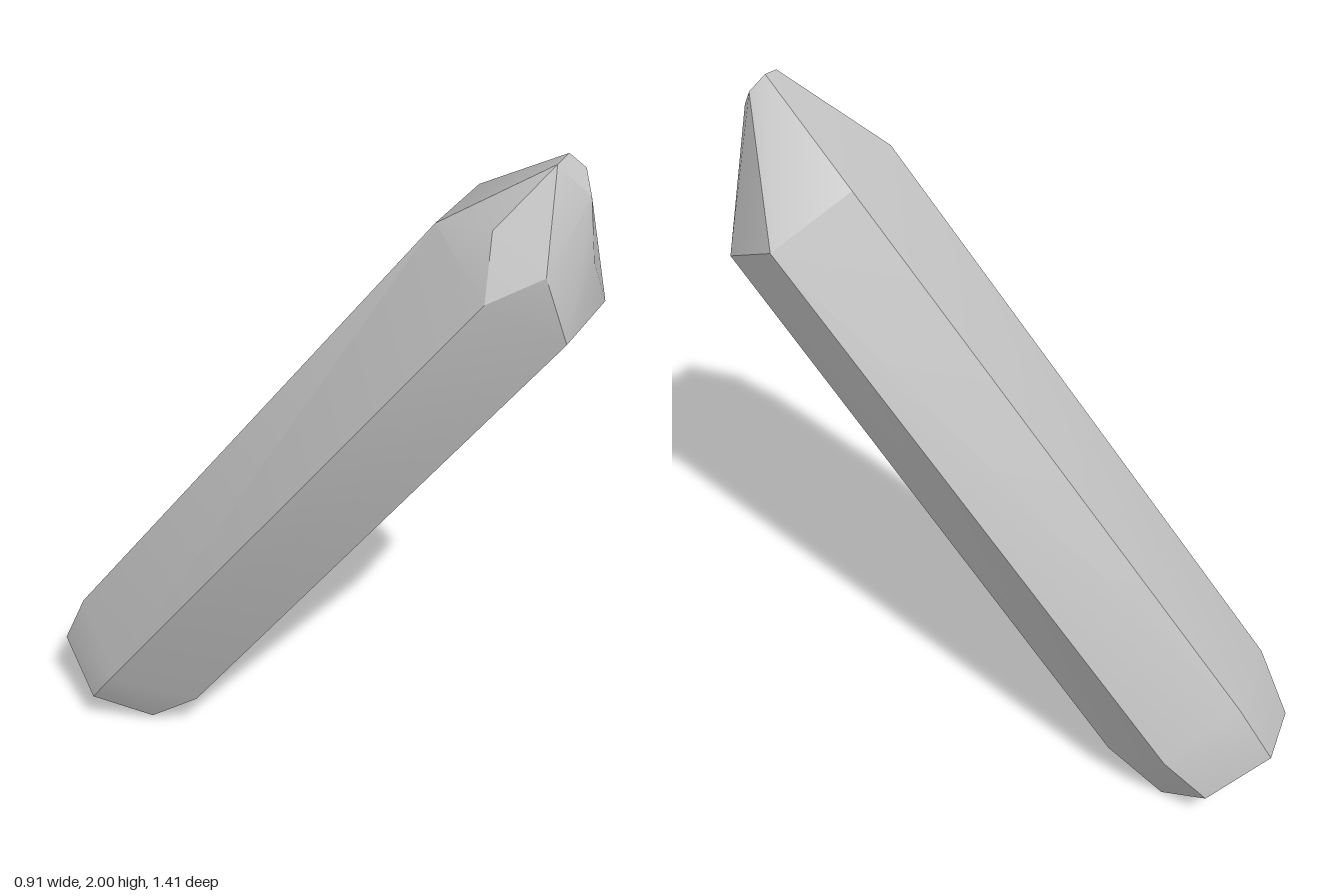
import * as THREE from 'three';
import { ConvexGeometry } from 'three/addons/geometries/ConvexGeometry.js';
import { toCreasedNormals } from 'three/addons/utils/BufferGeometryUtils.js';

// Cross-sections of the leaning six-sided crystal, from base to tip
const base = [
  [-0.296, 0.02, -0.37], [-0.11, 0.0, -0.437], [-0.084, 0.115, -0.61],
  [-0.24, 0.22, -0.705], [-0.415, 0.21, -0.62], [-0.444, 0.115, -0.447],
];
const lowerRing = [
  [-0.245, 0.15, -0.22], [-0.024, 0.15, -0.31], [0.014, 0.27, -0.538],
  [-0.177, 0.395, -0.636], [-0.407, 0.39, -0.527], [-0.456, 0.27, -0.32],
];
const upperRing = [
  [0.192, 1.56, 0.703], [0.411, 1.56, 0.607], [0.454, 1.676, 0.4],
  [0.26, 1.802, 0.31], [0.042, 1.802, 0.4], [0.02, 1.68, 0.602],
];
// Uneven corners of the pointed end
const shoulder = [
  [0.127, 1.75, 0.688], [0.28, 1.74, 0.687], [0.068, 1.84, 0.566],
];
const tip = [
  [0.2, 1.99, 0.628], [0.247, 2.0, 0.616], [0.285, 1.96, 0.636], [0.27, 1.905, 0.674],
];

export function createModel() {
  const group = new THREE.Group();
  group.name = 'crystal';

  const stone = new THREE.MeshStandardMaterial({ color: 0xc4c4c4 });
  stone.name = 'greyStone';

  // Convex faceted body; strong edges stay sharp, shallow ones are smoothed
  const corners = [base, lowerRing, upperRing, shoulder, tip].flat()
    .map((p) => new THREE.Vector3(...p));
  const body = new THREE.Mesh(toCreasedNormals(new ConvexGeometry(corners), 0.45), stone);
  body.name = 'crystalBody';
  group.add(body);

  return group;
}
